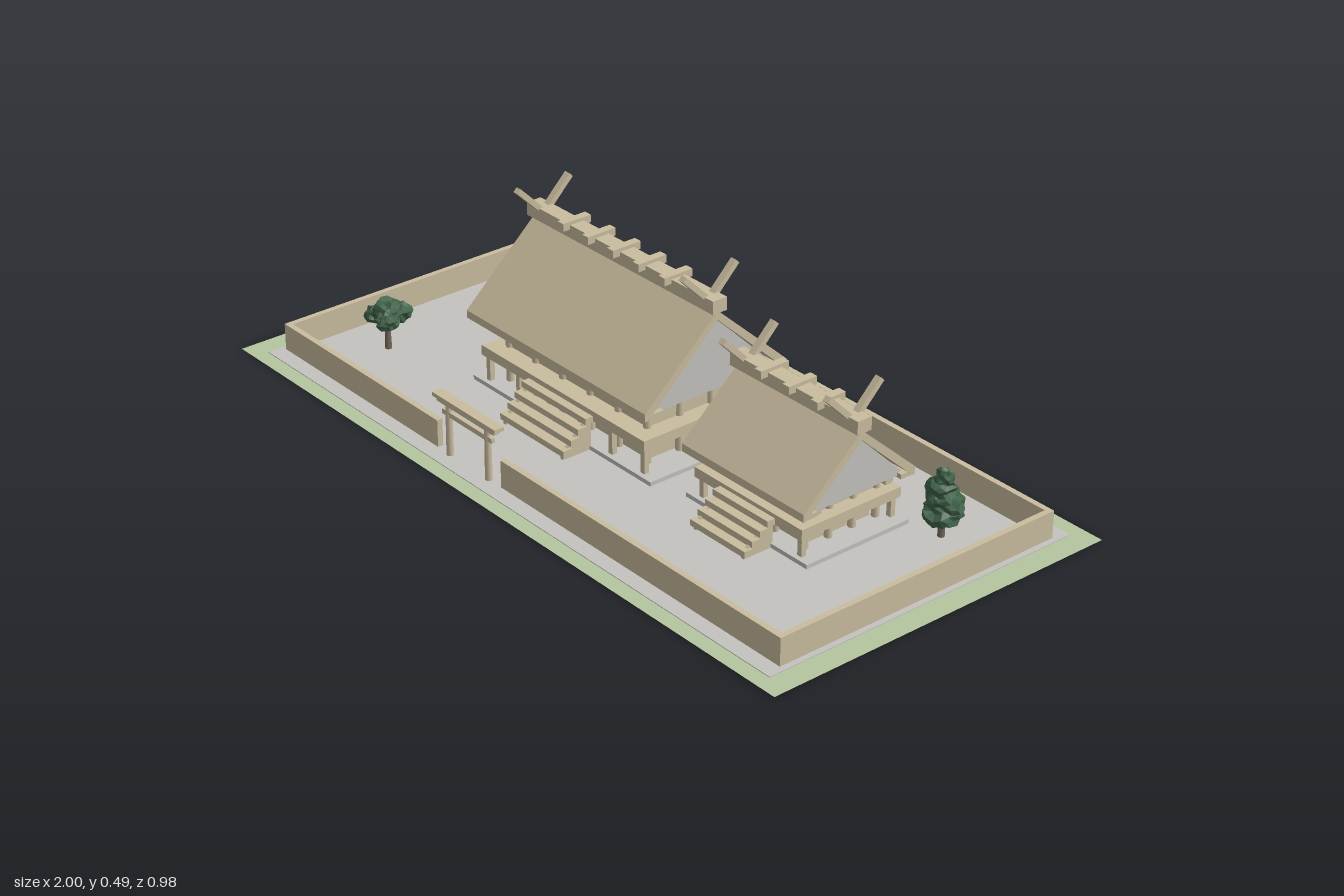
import * as THREE from 'three';

const mat = (name, color, extra = {}) => {
  const m = new THREE.MeshStandardMaterial({ color, ...extra });
  m.name = name;
  return m;
};

export function createModel() {
  const wood = mat('pale cypress wood', 0xcabd9f);
  const gravel = mat('grey gravel and plaster', 0xc4c2be);
  const grass = mat('grass', 0xb5c69f, { side: THREE.DoubleSide });
  const leaf = mat('dark foliage', 0x3f6148, { flatShading: true });
  const bark = mat('bark', 0x74685a);

  const model = new THREE.Group();
  model.name = 'shrineCompound';

  const add = (parent, name, geo, material, x = 0, y = 0, z = 0) => {
    const m = new THREE.Mesh(geo, material);
    m.name = name;
    m.position.set(x, y, z);
    parent.add(m);
    return m;
  };
  // Box given by its centre in x and z and by its bottom and top in y
  const box = (parent, name, w, y0, y1, d, x, z, material = wood) =>
    add(parent, name, new THREE.BoxGeometry(w, y1 - y0, d), material, x, (y0 + y1) / 2, z);
  // Extrudes a (z, y) outline along x, centred on x = 0
  const alongX = (pts, length) => {
    const g = new THREE.ExtrudeGeometry(
      new THREE.Shape(pts.map(([z, y]) => new THREE.Vector2(-z, y))), { depth: length, bevelEnabled: false });
    return g.translate(0, 0, -length / 2).rotateY(Math.PI / 2);
  };

  // Ground: grass border around a gravel court
  const border = new THREE.Shape([[-1, -0.49], [1, -0.49], [1, 0.49], [-1, 0.49]].map(p => new THREE.Vector2(...p)));
  border.holes.push(new THREE.Path([[-0.94, -0.45], [-0.94, 0.45], [0.94, 0.45], [0.94, -0.45]].map(p => new THREE.Vector2(...p))));
  add(model, 'grassBorder', new THREE.ShapeGeometry(border).rotateX(-Math.PI / 2), grass, 0, 0.001, 0);
  box(model, 'gravelCourt', 1.88, 0, 0.003, 0.9, 0, 0, gravel);

  // Perimeter fence with an opening for the gate
  const fence = new THREE.Group();
  fence.name = 'fence';
  model.add(fence);
  const t = 0.015, fx = 0.925, fz = 0.408, gapL = -0.285, gapR = -0.04;
  for (const s of [-1, 1]) box(fence, 'sideFence', t, 0, 0.074, 2 * (fz - t), s * (fx - t / 2), 0);
  box(fence, 'backFence', 2 * fx, 0, 0.074, t, 0, -fz + t / 2);
  box(fence, 'frontFenceRight', gapL + fx, 0, 0.074, t, (gapL - fx) / 2, fz - t / 2);
  box(fence, 'frontFenceLeft', fx - gapR, 0, 0.074, t, (gapR + fx) / 2, fz - t / 2);

  // Gate: two posts, tie beam and double lintel
  const gate = new THREE.Group();
  gate.name = 'gate';
  gate.position.set(-0.163, 0, 0.407);
  model.add(gate);
  for (const s of [-1, 1]) {
    add(gate, 'gatePost', new THREE.CylinderGeometry(0.008, 0.009, 0.138, 10), wood, s * 0.075, 0.069, 0);
  }
  box(gate, 'tieBeam', 0.19, 0.107, 0.12, 0.01, 0, 0);
  box(gate, 'lowerLintel', 0.22, 0.136, 0.146, 0.018, 0, 0);
  box(gate, 'topLintel', 0.24, 0.146, 0.156, 0.028, 0, 0);

  // Raised timber hall
  function hall(name, o) {
    const h = new THREE.Group();
    h.name = name;
    h.position.set(o.x, 0, o.z);
    model.add(h);
    // Stone base, floor and stilts
    box(h, 'stoneBase', 2 * o.roofX, 0, 0.014, 2 * o.floorZ + 0.01, 0, 0, gravel);
    box(h, 'verandaFloor', 2 * o.floorX, o.floor - 0.026, o.floor, 2 * o.floorZ, 0, 0);
    box(h, 'underfloor', 2 * o.wallX - 0.02, 0.01, o.floor, 2 * o.wallZ - 0.02, 0, 0);
    // Walls with round posts from the base to the eaves
    box(h, 'walls', 2 * o.wallX, o.floor, o.eave + 0.01, 2 * o.wallZ, 0, 0);
    const post = (px, pz) => add(h, 'post', new THREE.CylinderGeometry(0.01, 0.01, o.eave, 10), wood, px, o.eave / 2, pz);
    for (let i = 0; i <= o.bays; i++) {
      const px = -o.wallX + (2 * o.wallX * i) / o.bays;
      for (const s of [-1, 1]) post(px, s * o.wallZ);
    }
    for (const s of [-1, 1]) for (const f of [-0.33, 0.33]) post(s * o.wallX, f * o.wallZ);
    for (const s of [-1, 1]) {
      for (let i = 0; i <= o.bays; i++) {
        const px = (o.floorX - 0.015) * (2 * i / o.bays - 1);
        box(h, 'verandaStilt', 0.014, 0.01, o.floor - 0.02, 0.014, px, s * (o.floorZ - 0.015));
      }
      box(h, 'wallPlate', 2 * o.roofX - 0.04, o.eave - 0.012, o.eave + 0.006, 0.022, 0, s * o.wallZ);
    }
    // Thick gable roof, eave beams and plastered gable
    const e = o.eave, k = o.eave + 0.02, a = o.apex, d = 0.024;
    add(h, 'roof', alongX([[o.roofZ, e], [o.roofZ, k], [0, a], [-o.roofZ, k], [-o.roofZ, e],
      [-o.roofZ + 0.008, e], [0, a - d], [o.roofZ - 0.008, e]], 2 * o.roofX), wood);
    add(h, 'gable', alongX([[o.roofZ - 0.02, e + 0.004], [0, a - d + 0.002], [-o.roofZ + 0.02, e + 0.004]],
      2 * o.roofX - 0.03), gravel);
    for (const s of [-1, 1]) box(h, 'eaveBeam', 2 * o.roofX - 0.004, e, e + 0.012, o.eaveBeam, 0, s * (o.roofZ - 0.006 - o.eaveBeam / 2));
    // Ridge beam, short logs across it and crossed finials
    box(h, 'ridgeBeam', 2 * o.roofX + 0.014, a - 0.002, a + 0.032, 0.042, 0, 0);
    for (let i = 0; i < o.logs; i++) {
      box(h, 'ridgeLog', 0.022, a + 0.021, a + 0.041, 0.084, (i - (o.logs - 1) / 2) * 0.094, 0);
    }
    for (const sx of [-1, 1]) for (const sz of [-1, 1]) {
      const f = box(h, 'crossedFinial', 0.018, 0, 0.118, 0.014, sx * (o.roofX - 0.032), sz * 0.037);
      f.position.y = a + 0.051;
      f.rotation.x = sz * Math.PI / 4;
    }
    // Front stairs
    const n = 4, run = 0.022, rise = o.floor / (n + 1);
    for (let i = 0; i < n; i++) {
      const top = o.floor - rise * (i + 1) + 0.008;
      box(h, 'stairTread', 2 * o.stairX, top - 0.016, top, run + 0.004, 0, o.floorZ + run * (i + 0.5) - 0.002);
    }
    for (const s of [-1, 1]) {
      const z0 = o.floorZ, z1 = o.floorZ + n * run - 0.004;
      add(h, 'stairStringer', alongX([[z0, 0], [z1, 0], [z1, 0.018], [z0, o.floor - 0.012]], 0.01),
        wood, s * (o.stairX - 0.012), 0, 0);
    }
  }
  hall('mainHall', { x: -0.163, z: -0.059, roofX: 0.339, roofZ: 0.215, eave: 0.177, apex: 0.393, eaveBeam: 0.05,
    floor: 0.107, floorX: 0.31, floorZ: 0.195, wallX: 0.262, wallZ: 0.145, bays: 5, logs: 5, stairX: 0.122 });
  hall('sideHall', { x: 0.468, z: -0.049, roofX: 0.206, roofZ: 0.168, eave: 0.127, apex: 0.298, eaveBeam: 0.035,
    floor: 0.09, floorX: 0.182, floorZ: 0.15, wallX: 0.145, wallZ: 0.108, bays: 3, logs: 3, stairX: 0.093 });

  // Trees: trunk with ragged, faceted clumps [dx, y, dz, radius, squash]
  let seed = 7;
  const rnd = () => (seed = (seed * 16807) % 2147483647) / 2147483647;
  const clump = () => {
    const g = new THREE.IcosahedronGeometry(1, 2), p = g.attributes.position, seen = {};
    for (let i = 0; i < p.count; i++) {
      const key = [p.getX(i), p.getY(i), p.getZ(i)].map(v => Math.round(v * 1000)).join();
      const r = (seen[key] ??= 0.68 + 0.42 * rnd());
      p.setXYZ(i, p.getX(i) * r, p.getY(i) * r, p.getZ(i) * r);
    }
    g.computeVertexNormals();
    return g;
  };
  const tree = (name, x, z, trunkTop, clumps) => {
    const g = new THREE.Group();
    g.name = name;
    g.position.set(x, 0, z);
    model.add(g);
    add(g, 'trunk', new THREE.CylinderGeometry(0.006, 0.009, trunkTop, 7), bark, 0, trunkTop / 2, 0);
    for (const [dx, y, dz, r, sy] of clumps) {
      const c = add(g, 'foliage', clump(), leaf, dx, y, dz);
      c.scale.set(r, r * sy, r);
    }
  };
  const tall = [[0, 0.065, 0, 0.05, 0.7], [0.006, 0.095, -0.004, 0.046, 0.8], [-0.004, 0.125, 0.004, 0.037, 0.9], [0, 0.15, 0, 0.026, 1.1]];
  tree('backRightTree', -0.76, -0.217, 0.1, tall);
  tree('backLeftTree', 0.76, -0.222, 0.1, tall);
  tree('frontRightTree', -0.768, 0.207, 0.09, [[0, 0.105, 0, 0.042, 0.85], [-0.03, 0.09, 0.012, 0.032, 0.75],
    [0.028, 0.095, 0.02, 0.032, 0.75], [0.012, 0.1, -0.028, 0.034, 0.8]]);

  return model;
}
